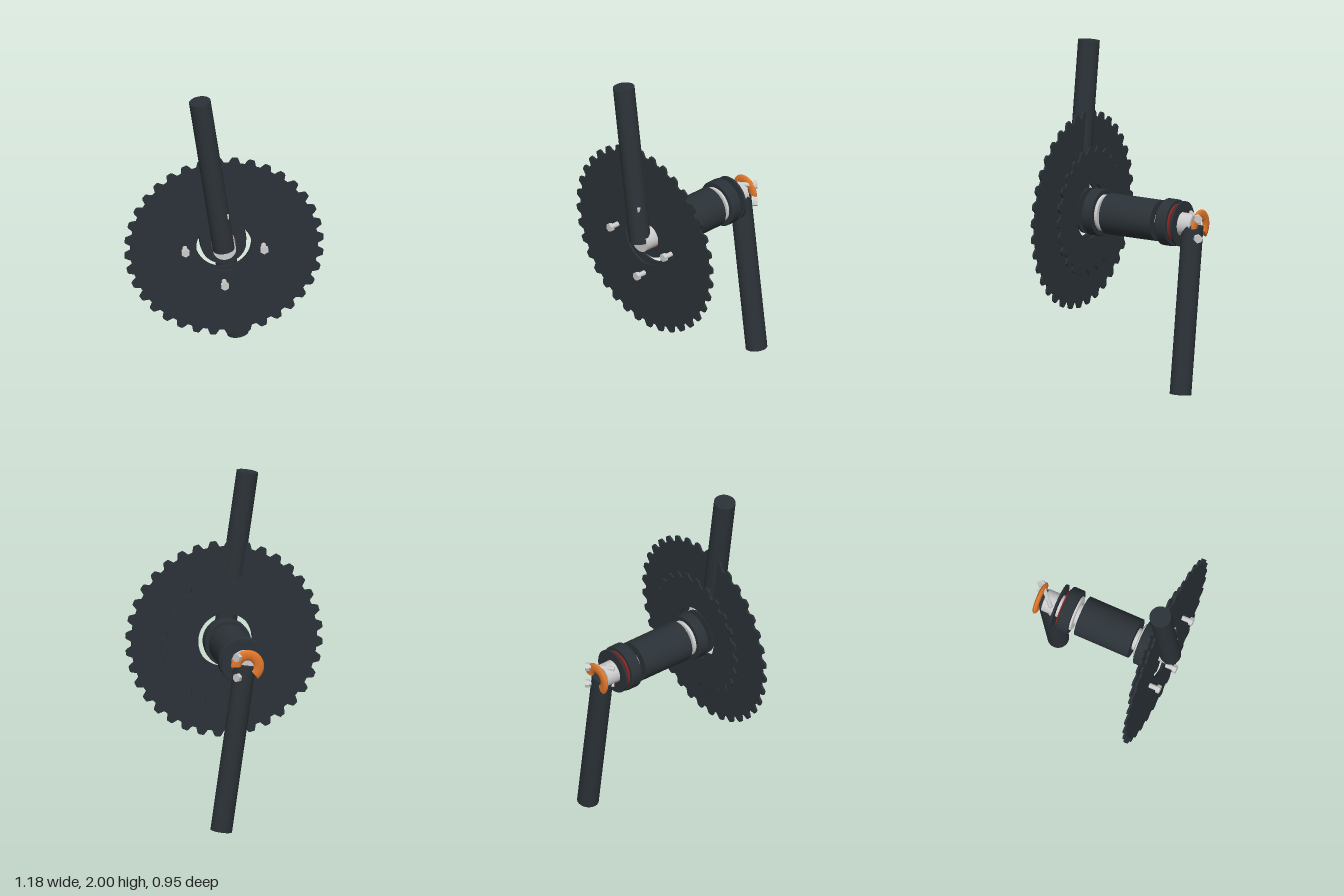
import * as THREE from 'three';

const mat = (color) => new THREE.MeshStandardMaterial({ color });
const V = (x, y, z) => new THREE.Vector3(x, y, z);

export function createModel() {
  const group = new THREE.Group();
  group.name = 'crankset';
  const dark = mat(0x2b3237), steel = mat(0xcccccc), red = mat(0x8a2622), orange = mat(0xe0762a);
  const AXIS_Y = 1;

  function add(name, geometry, material) {
    const mesh = new THREE.Mesh(geometry, material);
    mesh.name = name;
    group.add(mesh);
    return mesh;
  }
  // cylinder between two points
  function rod(name, a, b, r, material, sides = 40) {
    const dir = b.clone().sub(a);
    const mesh = add(name, new THREE.CylinderGeometry(r, r, dir.length(), sides), material);
    mesh.position.copy(a).add(b).multiplyScalar(0.5);
    mesh.quaternion.setFromUnitVectors(V(0, 1, 0), dir.normalize());
    return mesh;
  }
  const axial = (name, z0, z1, r, material) =>
    rod(name, V(0, AXIS_Y, z0), V(0, AXIS_Y, z1), r, material, 48);

  // flat plate in the xy plane with a round centre hole
  function plate(name, shape, hole, z0, z1, boltRadius = 0) {
    shape.holes.push(new THREE.Path().absarc(0, 0, hole, 0, Math.PI * 2, true));
    for (let i = 0; i < 4 && boltRadius; i++) {
      const a = i * Math.PI / 2;
      const p = new THREE.Path();
      p.absarc(Math.cos(a) * boltRadius, Math.sin(a) * boltRadius, 0.014, 0, Math.PI * 2, true);
      shape.holes.push(p);
    }
    const geo = new THREE.ExtrudeGeometry(shape, { depth: z1 - z0, bevelEnabled: false, curveSegments: 40 });
    add(name, geo, dark).position.set(0, AXIS_Y, z0);
  }

  // toothed outline: root, rising flank, tip, falling flank
  function sprocketShape(teeth, rRoot, rTip, phase) {
    const pts = [];
    const pitch = Math.PI * 2 / teeth;
    for (let i = 0; i < teeth; i++) {
      for (const [f, r] of [[-0.36, rRoot], [-0.2, rTip - 0.006], [-0.14, rTip], [0.14, rTip], [0.2, rTip - 0.006], [0.36, rRoot]]) {
        const a = phase + (i + f) * pitch;
        pts.push(new THREE.Vector2(Math.cos(a) * r, Math.sin(a) * r));
      }
    }
    return new THREE.Shape(pts);
  }

  // axle and the frame shell around it
  axial('spindle', -0.397, 0.418, 0.068, steel);
  axial('bottomBracketShell', -0.16, 0.186, 0.122, dark);

  // rounded disc turned about the spindle
  function roundedDisc(name, z0, z1, r, bevel, material) {
    const h = z1 - z0;
    const pts = [new THREE.Vector2(0, 0)];
    for (const [cy, a0] of [[bevel, -Math.PI / 2], [h - bevel, 0]]) {
      for (let i = 0; i <= 5; i++) {
        const a = a0 + i * Math.PI / 10;
        pts.push(new THREE.Vector2(r - bevel + Math.cos(a) * bevel, cy + Math.sin(a) * bevel));
      }
    }
    pts.push(new THREE.Vector2(0, h));
    const mesh = add(name, new THREE.LatheGeometry(pts, 48), material);
    mesh.rotation.x = Math.PI / 2;
    mesh.position.set(0, AXIS_Y, z0);
  }

  // bearing cups with inner collar, seal and dust washer on each side
  for (const [side, s, inner, face, outer, seal, w] of [
    ['front', 1, 0.211, 0.227, 0.296, 0.305, 0.325],
    ['back', -1, 0.188, 0.2, 0.272, 0.282, 0.304],
  ]) {
    const span = (a, b) => [Math.min(s * a, s * b), Math.max(s * a, s * b)];
    roundedDisc(side + 'Collar', ...span(inner, face + 0.01), 0.108, 0.01, steel);
    roundedDisc(side + 'BearingCup', ...span(face, outer), 0.139, 0.007, dark);
    axial(side + 'Seal', ...span(outer - 0.005, seal), 0.115, red);
    const ring = new THREE.Shape().absarc(0, 0, 0.134, 0, Math.PI * 2, false);
    plate(side + 'Washer', ring, 0.075, ...span(w, w + 0.012));
  }

  // chainrings
  plate('largeChainring', sprocketShape(36, 0.553, 0.588, 1.46), 0.164, 0.366, 0.378, 0.232);
  plate('smallChainring', sprocketShape(24, 0.352, 0.384, 0), 0.164, 0.31, 0.322);

  // chainring bolts
  for (let i = 0; i < 4; i++) {
    const a = i * Math.PI / 2;
    const at = (z) => V(Math.cos(a) * 0.232, AXIS_Y + Math.sin(a) * 0.232, z);
    rod('chainringBoltNut', at(0.354), at(0.373), 0.029, dark, 20);
    rod('chainringBoltShank', at(0.36), at(0.43), 0.015, steel, 16);
    rod('chainringBoltHead', at(0.425), at(0.448), 0.026, steel, 6).material = steelFlat();
  }
  function steelFlat() {
    const m = mat(0xcccccc);
    m.flatShading = true;
    return m;
  }

  // crank arms, pointing in opposite directions
  rod('frontCrankArm', V(-0.004, AXIS_Y, 0.409), V(-0.146, 1.991, 0.409), 0.064, dark);
  rod('backCrankArm', V(0.004, AXIS_Y, -0.383), V(0.146, 0.009, -0.383), 0.064, dark);

  // open retaining clip on the back end, a flattened torus arc
  const clip = add('retainingClip', new THREE.TorusGeometry(0.068, 0.031, 20, 48, Math.PI * 1.28), orange);
  clip.position.set(-0.003, AXIS_Y, -0.43);
  clip.scale.z = 0.45;
  for (const a of [0, Math.PI * 1.28]) {
    const cap = add('clipEnd', new THREE.CircleGeometry(0.031, 20), orange);
    cap.material = new THREE.MeshStandardMaterial({ color: 0xe0762a, side: THREE.DoubleSide });
    cap.position.set(-0.003 + Math.cos(a) * 0.068, AXIS_Y + Math.sin(a) * 0.068, -0.43);
    cap.rotation.set(Math.PI / 2, a, 0, 'ZYX');
    cap.quaternion.setFromAxisAngle(V(0, 0, 1), a)
      .multiply(new THREE.Quaternion().setFromAxisAngle(V(1, 0, 0), Math.PI / 2));
    cap.scale.y = 0.45;
  }

  // pair of diagonal pinch bolts through the back arm
  for (const y of [0.94, 1.06]) {
    rod('pinchBoltShank', V(-0.05, y, -0.34), V(0.06, y, -0.447), 0.013, steel, 16);
    rod('pinchBoltHead', V(0.052, y, -0.443), V(0.07, y, -0.461), 0.026, steelFlat(), 6);
  }
  return group;
}
